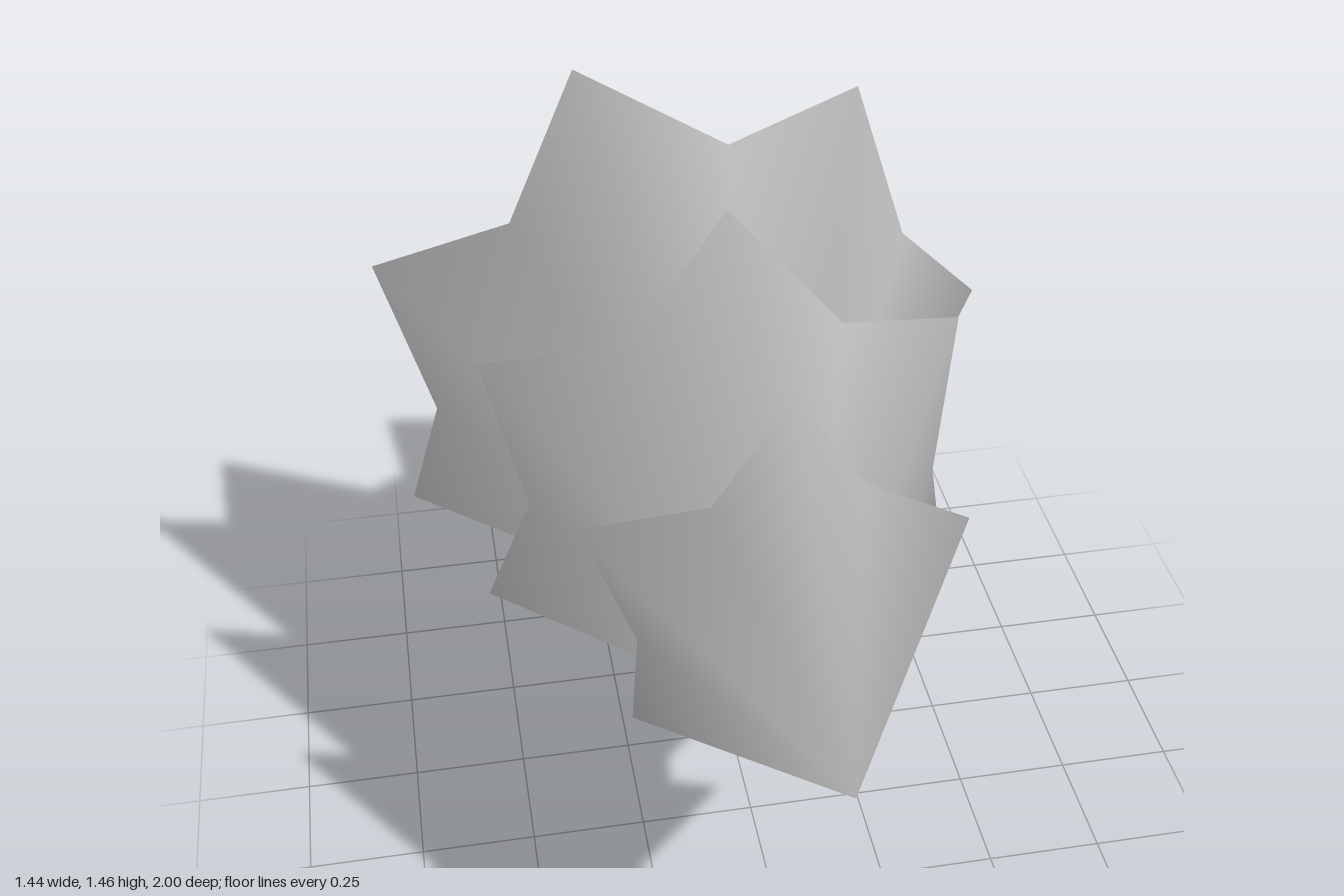
import * as THREE from 'three';

const grey = new THREE.MeshStandardMaterial({ color: 0xcccccc });
grey.name = 'plain grey';

// Smooth normals weighted by corner angle, shared across every edge.
function smoothNormals(points, faces) {
  const normals = points.map(() => new THREE.Vector3());
  for (const f of faces) {
    const [a, b, c] = f.map((i) => points[i]);
    const n = new THREE.Triangle(a, b, c).getNormal(new THREE.Vector3());
    f.forEach((i, k) => {
      const u = points[f[(k + 1) % 3]].clone().sub(points[i]);
      const v = points[f[(k + 2) % 3]].clone().sub(points[i]);
      normals[i].addScaledVector(n, u.angleTo(v));
    });
  }
  return normals.flatMap((n) => n.normalize().toArray());
}

// Closed skin: front pole, loops of equal length (counter-clockwise from +z), back pole.
function skin(name, front, loops, back) {
  const n = loops[0].length;
  const points = [front, ...loops.flat(), back].map((p) => new THREE.Vector3(...p));
  const last = points.length - 1;
  const at = (loop, i) => 1 + loop * n + (i % n);
  const faces = [];
  for (let i = 0; i < n; i++) {
    faces.push([0, at(0, i), at(0, i + 1)]);
    for (let l = 0; l < loops.length - 1; l++) {
      faces.push([at(l, i), at(l + 1, i), at(l + 1, i + 1)]);
      faces.push([at(l, i), at(l + 1, i + 1), at(l, i + 1)]);
    }
    faces.push([last, at(loops.length - 1, i + 1), at(loops.length - 1, i)]);
  }
  const g = new THREE.BufferGeometry();
  g.setAttribute('position', new THREE.Float32BufferAttribute(points.flatMap((p) => p.toArray()), 3));
  g.setAttribute('normal', new THREE.Float32BufferAttribute(smoothNormals(points, faces), 3));
  g.setIndex(faces.flat());
  const mesh = new THREE.Mesh(g, grey);
  mesh.name = name;
  return mesh;
}

export function createModel() {
  const tree = new THREE.Group();
  tree.name = 'tree';

  // Star-edged tiers: branch tips and notches alternate around each rim.
  tree.add(skin('topTier', [0.04, 0.8, 1], [[
    [0.43, 0.86, 0.34], [0.19, 1.04, 0.42], [0.06, 1.21, 0.35], [-0.12, 1.04, 0.44],
    [-0.37, 0.96, 0.36], [-0.27, 0.73, 0.44], [-0.28, 0.47, 0.39], [-0.03, 0.49, 0.44],
    [0.21, 0.40, 0.37], [0.28, 0.66, 0.46],
  ]], [0.01, 0.8, 0.53]));

  tree.add(skin('middleTier', [0, 0.8, 0.82], [[
    [0.52, 1.05, -0.11], [0.23, 1.15, 0.02], [0.01, 1.37, -0.10], [-0.21, 1.16, 0.04],
    [-0.52, 1.08, -0.07], [-0.44, 0.78, 0.03], [-0.54, 0.48, -0.05], [-0.24, 0.40, 0.04],
    [-0.03, 0.17, -0.05], [0.21, 0.38, 0.02], [0.51, 0.45, -0.08], [0.44, 0.76, 0.04],
  ]], [0, 0.8, 0.14]));

  tree.add(skin('bottomTier', [0, 0.8, 0.58], [[
    [0.72, 0.78, -0.63], [0.49, 1.05, -0.48], [0.41, 1.35, -0.64], [0.08, 1.32, -0.47],
    [-0.24, 1.46, -0.61], [-0.41, 1.18, -0.46], [-0.72, 1.03, -0.585], [-0.61, 0.71, -0.46],
    [-0.69, 0.38, -0.57], [-0.36, 0.26, -0.46], [-0.16, 0, -0.56], [0.14, 0.175, -0.45],
    [0.47, 0.18, -0.59], [0.52, 0.52, -0.47],
  ]], [0, 0.8, -0.35]));

  // Four-sided trunk, widening and leaning slightly toward its foot.
  const foot = [[0.14, 0.83, -1], [-0.14, 0.91, -1], [-0.22, 0.62, -0.98], [0.06, 0.55, -0.98]];
  const head = foot.map(([x, y]) => [-0.02 + (x + 0.04) * 0.58, 0.76 + (y - 0.73) * 0.58, -0.25]);
  tree.add(skin('trunk', [-0.02, 0.76, -0.25], [head, foot], [-0.04, 0.73, -0.99]));

  return tree;
}
